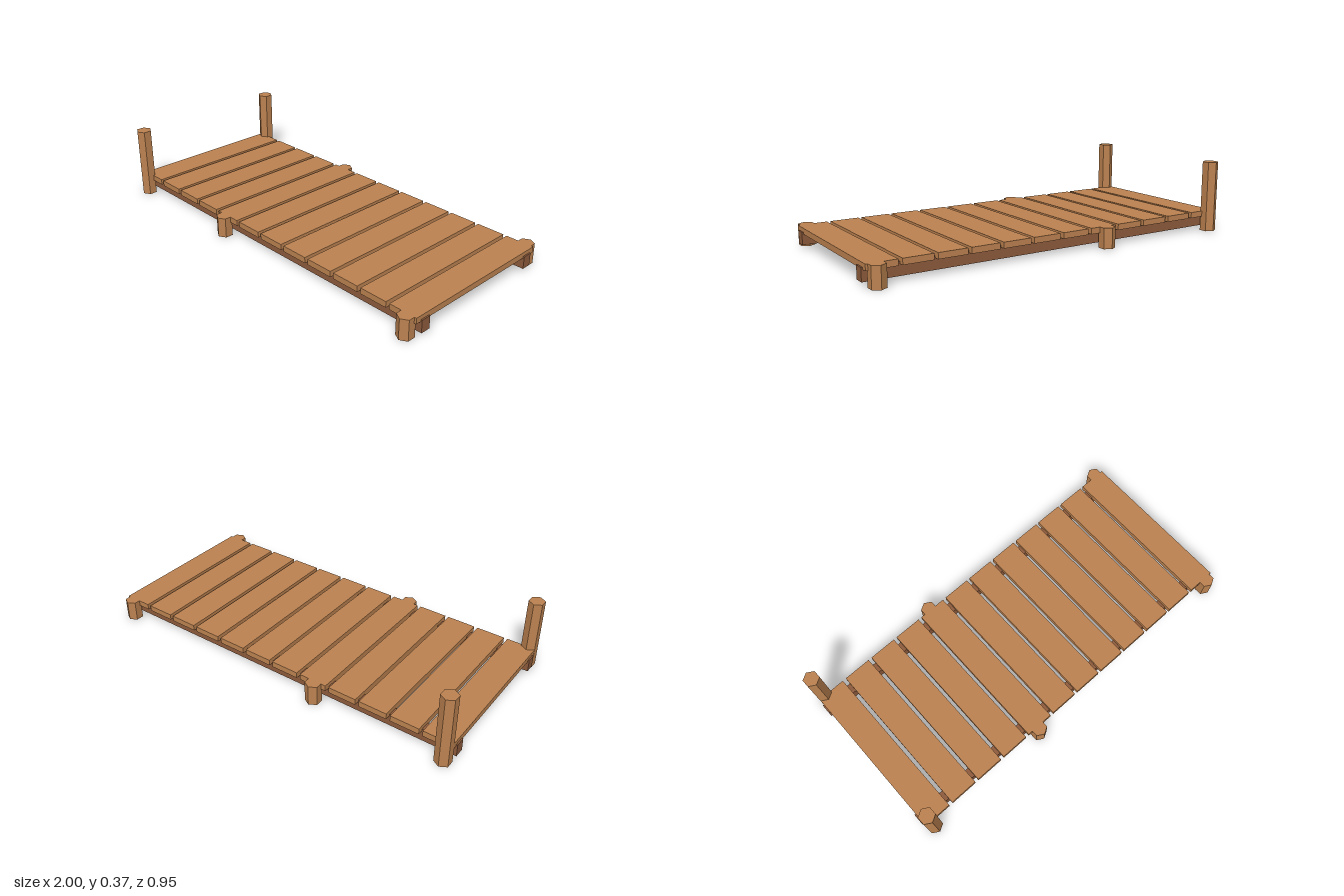
import * as THREE from 'three';

// Removes a run of triangle corners, leaving the solid open underneath
function openBottom(geometry, start, count) {
  const corners = Array.from(geometry.index.array);
  corners.splice(start, count);
  geometry.setIndex(corners);
  geometry.clearGroups();
  return geometry;
}

const openBox = (w, h, d) => openBottom(new THREE.BoxGeometry(w, h, d), 18, 6);

// Six sides and a top cap; the last six triangles are the bottom cap
const openPost = (r, h) => openBottom(new THREE.CylinderGeometry(r, r, h, 6), 54, 18);

export function createModel() {
  const model = new THREE.Group();
  model.name = 'dock';

  // Open undersides show the inner faces, so both materials are double-sided
  const look = { flatShading: true, side: THREE.DoubleSide };
  const wood = new THREE.MeshStandardMaterial({ color: 0xbc8250, ...look });
  wood.name = 'light wood';
  const darkWood = new THREE.MeshStandardMaterial({ color: 0x8d5b3c, ...look });
  darkWood.name = 'dark wood';

  function add(name, geometry, material, x, y, z) {
    const mesh = new THREE.Mesh(geometry, material);
    mesh.name = name;
    mesh.position.set(x, y, z);
    model.add(mesh);
  }

  // Deck: a row of separate planks
  const plankCount = 12;
  const pitch = 0.167;
  const plank = openBox(0.148, 0.03, 0.842);
  for (let i = 0; i < plankCount; i++) {
    add('plank', plank, wood, (i - (plankCount - 1) / 2) * pitch, 0.09, 0);
  }

  // Beams under the deck and hexagonal posts, mirrored front to back
  const beam = openBox(2, 0.064, 0.051);
  const posts = [
    { name: 'tallPost', x: -0.958, height: 0.369 },
    { name: 'middlePost', x: -0.264, height: 0.105 },
    { name: 'endPost', x: 0.946, height: 0.105 },
  ];
  for (const side of [1, -1]) {
    add('beam', beam, darkWood, 0, 0.053, side * 0.367);
    for (const { name, x, height } of posts) {
      add(name, openPost(0.041, height), wood, x, height / 2, side * 0.432);
    }
  }

  return model;
}
